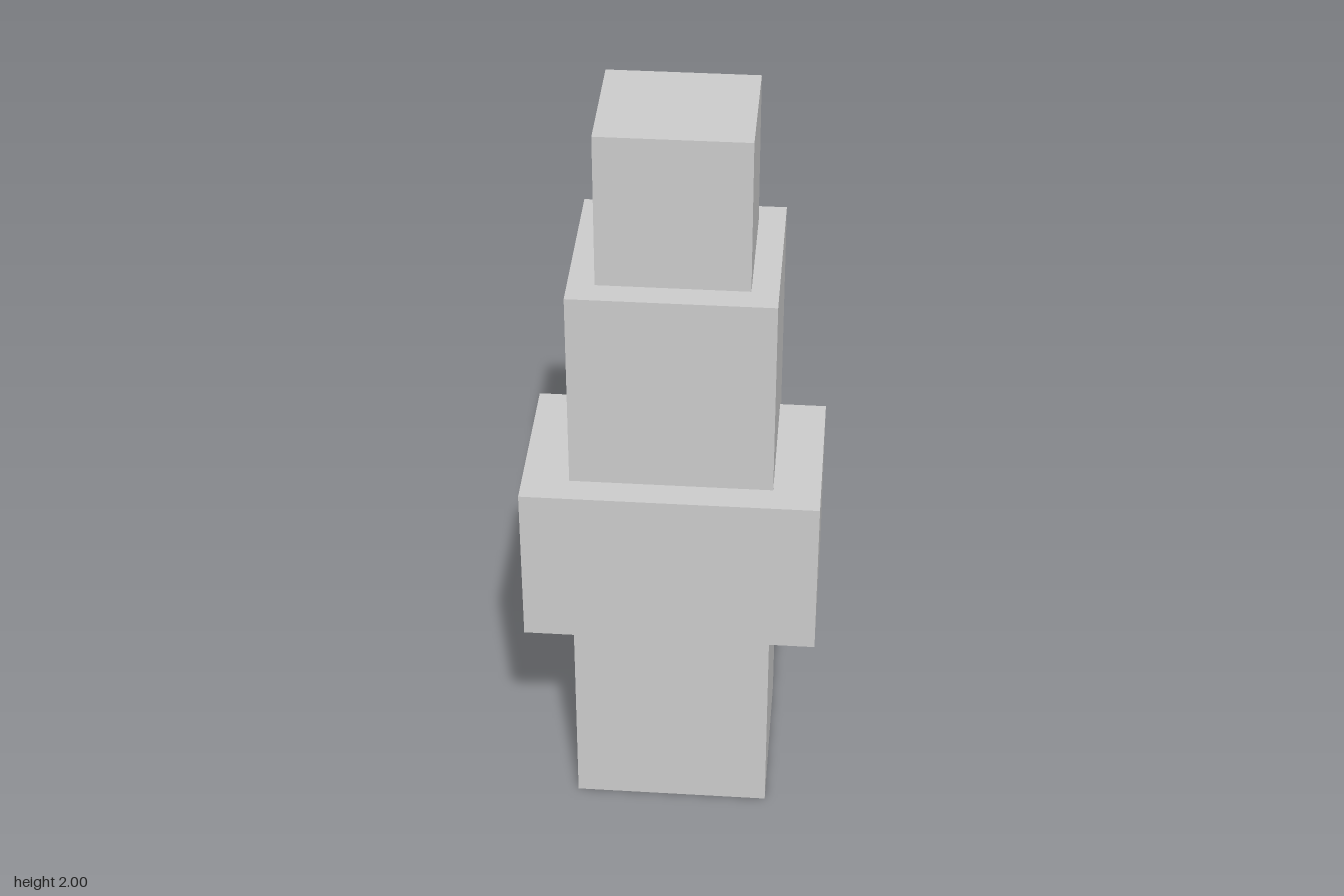
import * as THREE from 'three';

const material = new THREE.MeshStandardMaterial({ color: 0xcccccc, flatShading: true });

// Box given by its lower and upper limits on each axis
function block(name, [x0, x1], [y0, y1], [z0, z1]) {
  const mesh = new THREE.Mesh(new THREE.BoxGeometry(x1 - x0, y1 - y0, z1 - z0), material);
  mesh.position.set((x0 + x1) / 2, (y0 + y1) / 2, (z0 + z1) / 2);
  mesh.name = name;
  return mesh;
}

export function createModel() {
  const model = new THREE.Group();
  model.name = 'blockFigure';
  model.add(
    // Tall body column
    block('body', [-0.255, 0.255], [0, 1.595], [-0.269, 0.194]),
    // Arms folded across the front of the body
    block('arms', [-0.374, 0.374], [0.615, 1.055], [-0.178, 0.269]),
    // Head set on top
    block('head', [-0.188, 0.188], [1.595, 2], [-0.2, 0.127]),
  );
  return model;
}
